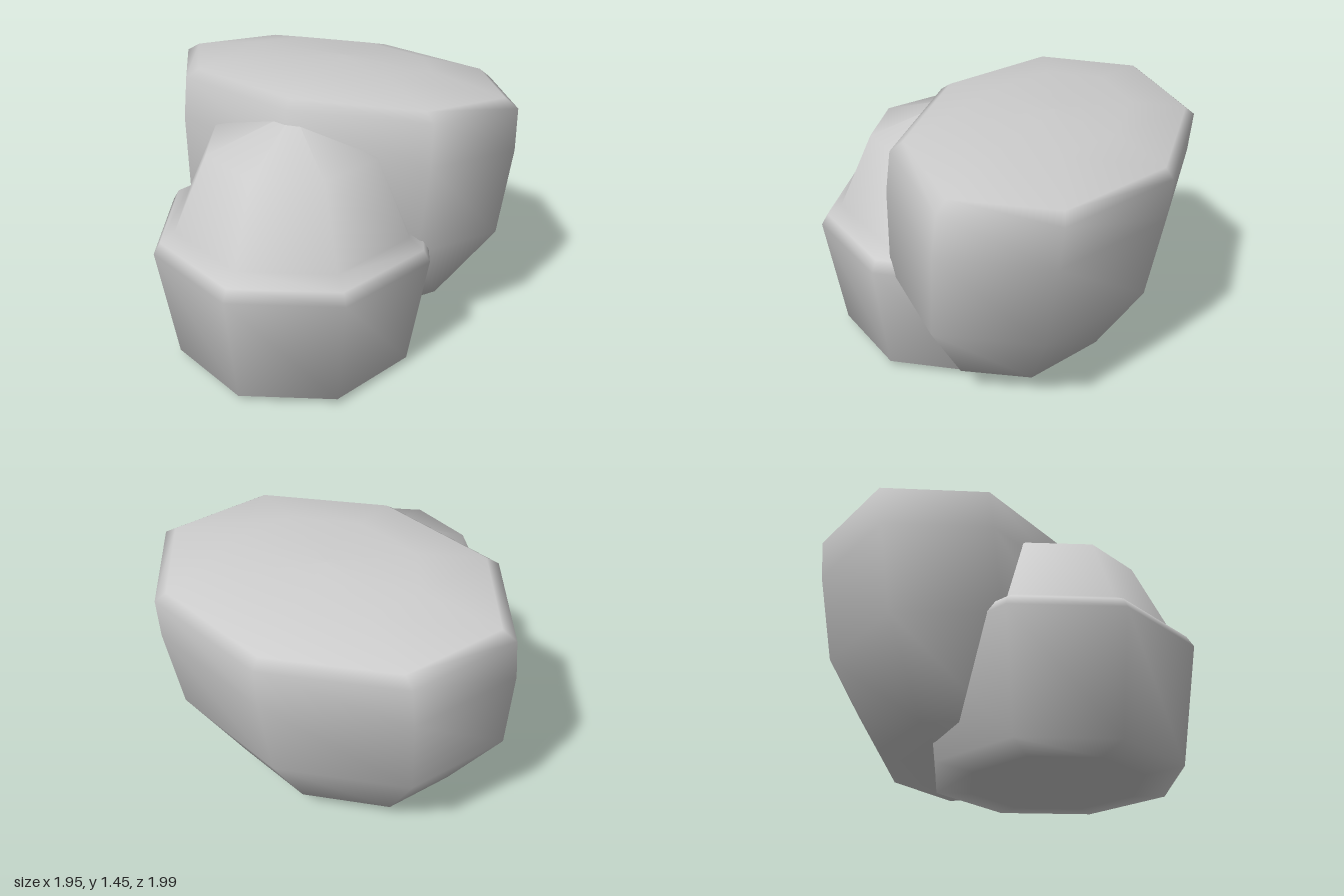
import * as THREE from 'three';

const SIDES = 8;

// Smooth eight-sided solid turned from [radius, height] pairs, bottom to top
function turned(name, profile, material) {
  const points = profile.map(([r, y]) => new THREE.Vector2(r, y));
  const mesh = new THREE.Mesh(new THREE.LatheGeometry(points, SIDES), material);
  mesh.name = name;
  return mesh;
}

export function createModel() {
  const group = new THREE.Group();
  group.name = 'twoLobedBody';
  const material = new THREE.MeshStandardMaterial({ color: 0xcccccc });

  // Front lobe: upright, flat bottomed, with a shoulder and a tapered cap
  const front = turned('frontLobe', [
    [0, 0], [0.45, 0.01], [0.65, 0.035], [0.745, 0.66],
    [0.71, 0.72], [0.63, 0.77], [0.45, 1.165], [0, 1.33],
  ], material);
  front.position.z = 0.25;
  group.add(front);

  // Rear lobe: wide oval bowl leaning backwards, closed by a shallow dome
  const rear = turned('rearLobe', [
    [0, -0.6], [0.64, -0.445], [0.935, 0], [0.977, 0.47],
    [0.967, 0.69], [0.895, 0.735], [0.5, 0.805], [0, 0.815],
  ], material);
  rear.scale.z = 0.69;
  rear.rotation.x = -0.108;
  rear.position.set(0, 0.61, -0.255);
  group.add(rear);

  return group;
}
